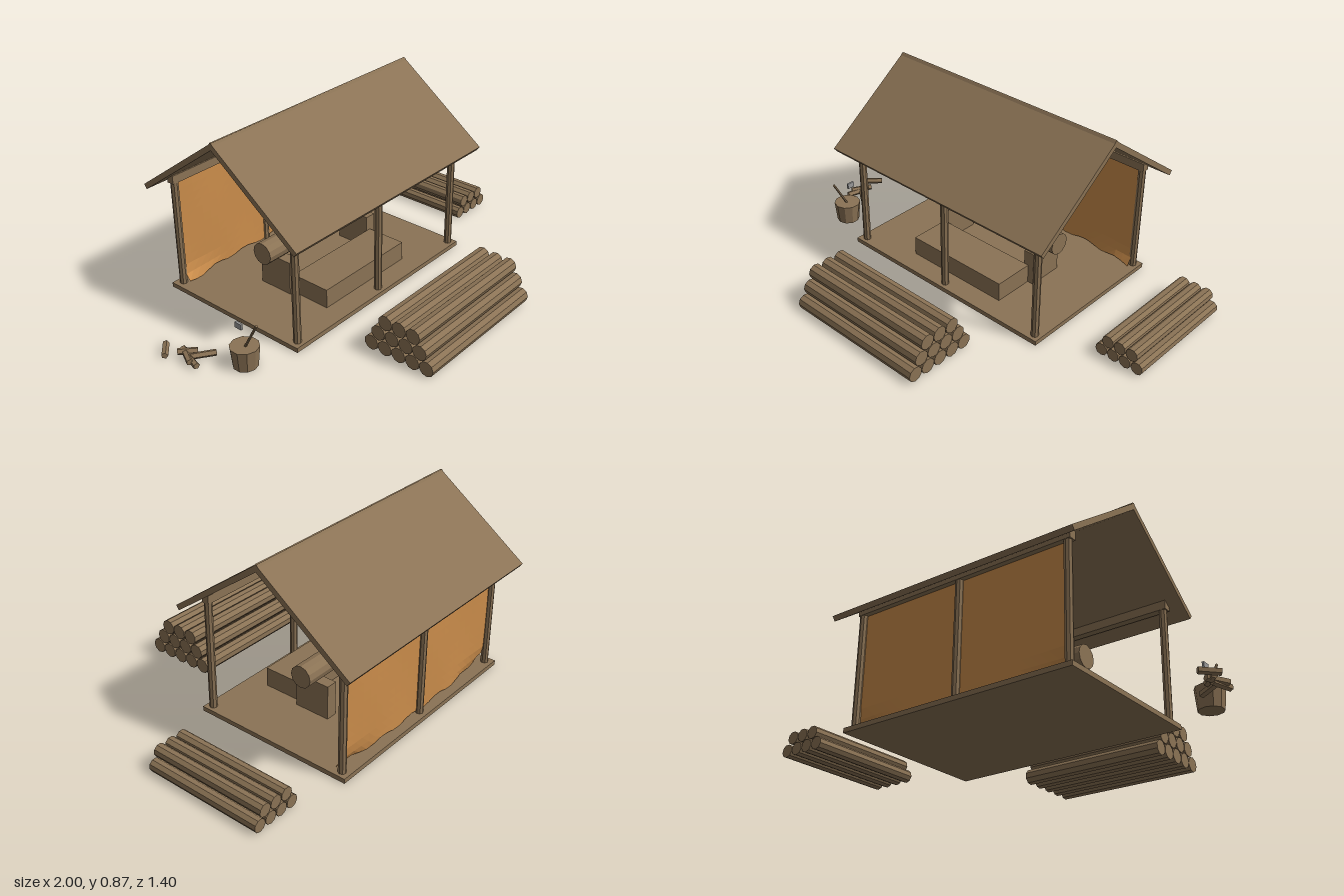
import * as THREE from 'three';

const mat = (name, color, extra = {}) => {
  const m = new THREE.MeshStandardMaterial({ color, flatShading: true, ...extra });
  m.name = name;
  return m;
};

export function createModel() {
  const root = new THREE.Group();
  root.name = 'woodcutterShelter';
  const wood = mat('wood', 0x8b7355);
  const canvas = mat('canvas', 0xcb8d4b, { side: THREE.DoubleSide });
  const steel = mat('steel', 0x999999);

  const add = (name, geo, material, x, y, z, parent = root) => {
    const mesh = new THREE.Mesh(geo, material);
    mesh.name = name;
    mesh.position.set(x, y, z);
    parent.add(mesh);
    return mesh;
  };
  const box = (name, w, h, d, x, y, z, material = wood) =>
    add(name, new THREE.BoxGeometry(w, h, d), material, x, y, z);
  // Log lying along x, or along z
  const log = (name, r, len, x, y, z, alongZ, parent = root, sides = 9) => {
    const g = new THREE.CylinderGeometry(r, r, len, sides);
    if (alongZ) g.rotateX(Math.PI / 2);
    else g.rotateZ(Math.PI / 2);
    return add(name, g, wood, x, y, z, parent);
  };

  // Floor, posts and eave beams
  box('floor', 1.15, 0.022, 0.79, -0.03, 0.011, -0.24);
  for (const z of [0.122, -0.598]) {
    for (const x of [-0.568, -0.03, 0.513])
      add('post', new THREE.CylinderGeometry(0.018, 0.018, 0.545, 8), wood, x, 0.2725, z);
    box('eaveBeam', 1.12, 0.04, 0.036, -0.03, 0.565, z);
  }

  // Roof slabs crossing slightly at the ridge
  for (const s of [1, -1]) {
    const slab = box('roofSlab', 1.26, 0.025, 0.572, -0.025, 0.694, -0.24 + s * 0.22);
    slab.rotation.x = s * 0.632;
  }

  // Rear canvas with a slight wave and curled lower corners
  const cloth = new THREE.PlaneGeometry(1.07, 0.525, 24, 12);
  const p = cloth.attributes.position;
  for (let i = 0; i < p.count; i++) {
    const x = p.getX(i), y = p.getY(i);
    const low = Math.max(0, (-y - 0.2) / 0.0625);
    const corner = Math.max(0, Math.abs(x) / 0.535 - 0.55) / 0.45;
    p.setZ(i, 0.004 * Math.sin(x * 14) * Math.cos(y * 6) + 0.03 * low * corner);
    if (low > 0.9) p.setY(i, y + 0.008 * (1 + Math.sin(x * 31)));
  }
  cloth.computeVertexNormals();
  add('rearCanvas', cloth, canvas, -0.025, 0.285, -0.592);

  // Low bench, log cradle and the log being sawn
  box('bench', 0.54, 0.093, 0.2, -0.03, 0.0685, -0.05);
  for (const x of [-0.298, 0.243]) box('logSupport', 0.055, 0.165, 0.177, x, 0.1045, -0.238);
  log('sawLog', 0.053, 0.75, -0.03, 0.238, -0.238, false, root, 12);
  box('sawBlade', 0.008, 0.046, 0.288, 0.045, 0.355, -0.238, steel);

  // Stacked log piles
  const pile = (name, counts, r, step, rise, place) => {
    const group = new THREE.Group();
    group.name = name;
    root.add(group);
    counts.forEach((n, row) => {
      for (let i = 0; i < n; i++) place((i - (n - 1) / 2) * step, r + row * rise, group);
    });
  };
  pile('frontLogPile', [5, 4, 3], 0.036, 0.072, 0.064, (o, y, g) =>
    log('log', 0.036, 0.715, -0.027, y, 0.519 + o, false, g));
  pile('sideLogPile', [4, 3], 0.03, 0.061, 0.055, (o, y, g) =>
    log('log', 0.03, 0.575, 0.876 + o, y, -0.28, true, g));

  // Chopping block with axe
  add('choppingBlock', new THREE.CylinderGeometry(0.065, 0.055, 0.098, 10), wood, -0.8, 0.049, 0.045);
  const handle = add('axeHandle', new THREE.CylinderGeometry(0.006, 0.006, 0.175, 6), wood, -0.8, 0.152, 0.081);
  handle.rotation.x = 0.5;
  box('axeHead', 0.01, 0.027, 0.037, -0.8, 0.184, 0.018, steel);

  // Split kindling scattered on the ground: x, y, z, length, turn
  for (const [x, y, z, len, turn] of [
    [-0.958, 0.015, -0.273, 0.09, 0.8],
    [-0.937, 0.015, -0.135, 0.1, 1.3],
    [-0.878, 0.015, -0.125, 0.11, -0.6],
    [-0.915, 0.027, -0.18, 0.085, -0.75],
    [-0.935, 0.024, -0.165, 0.105, 1.1],
  ]) {
    const stick = log('kindling', 0.015, len, x, y, z, false, root, 5);
    stick.rotation.y = turn;
  }
  return root;
}
